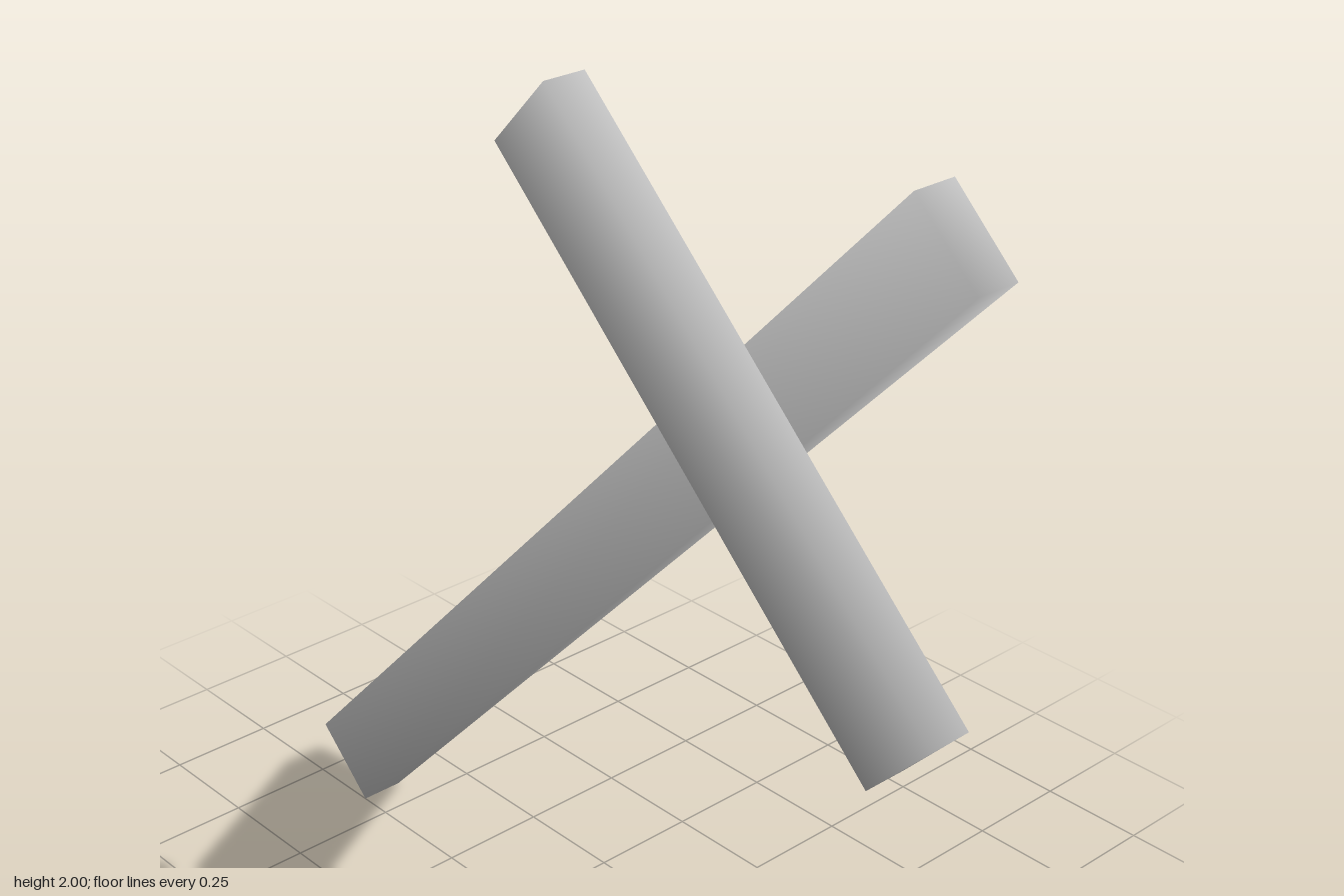
import * as THREE from 'three';

const grey = new THREE.MeshStandardMaterial({ color: 0xcccccc });
grey.name = 'grey';

// Flat bar running between two end points, with normals blended at its corners
function makeBar(name, [x0, y0], [x1, y1], width, depth, z) {
  const length = Math.hypot(x1 - x0, y1 - y0);
  const geometry = new THREE.BoxGeometry(length, width, depth);
  const p = geometry.attributes.position;
  const s = 1 / Math.sqrt(3);
  for (let i = 0; i < p.count; i++) {
    geometry.attributes.normal.setXYZ(i,
      Math.sign(p.getX(i)) * s, Math.sign(p.getY(i)) * s, Math.sign(p.getZ(i)) * s);
  }
  const bar = new THREE.Mesh(geometry, grey);
  bar.name = name;
  bar.position.set((x0 + x1) / 2, (y0 + y1) / 2, z);
  bar.rotation.z = Math.atan2(y1 - y0, x1 - x0);
  return bar;
}

export function createModel() {
  const model = new THREE.Group();
  model.name = 'crossedBars';
  // Long bar behind, short bar lying across its front
  model.add(makeBar('longBar', [-0.903, 0.074], [0.845, 1.918], 0.205, 0.1, -0.05));
  model.add(makeBar('shortBar', [-0.101, 1.926], [0.903, 0.974], 0.205, 0.1, 0.05));
  return model;
}
